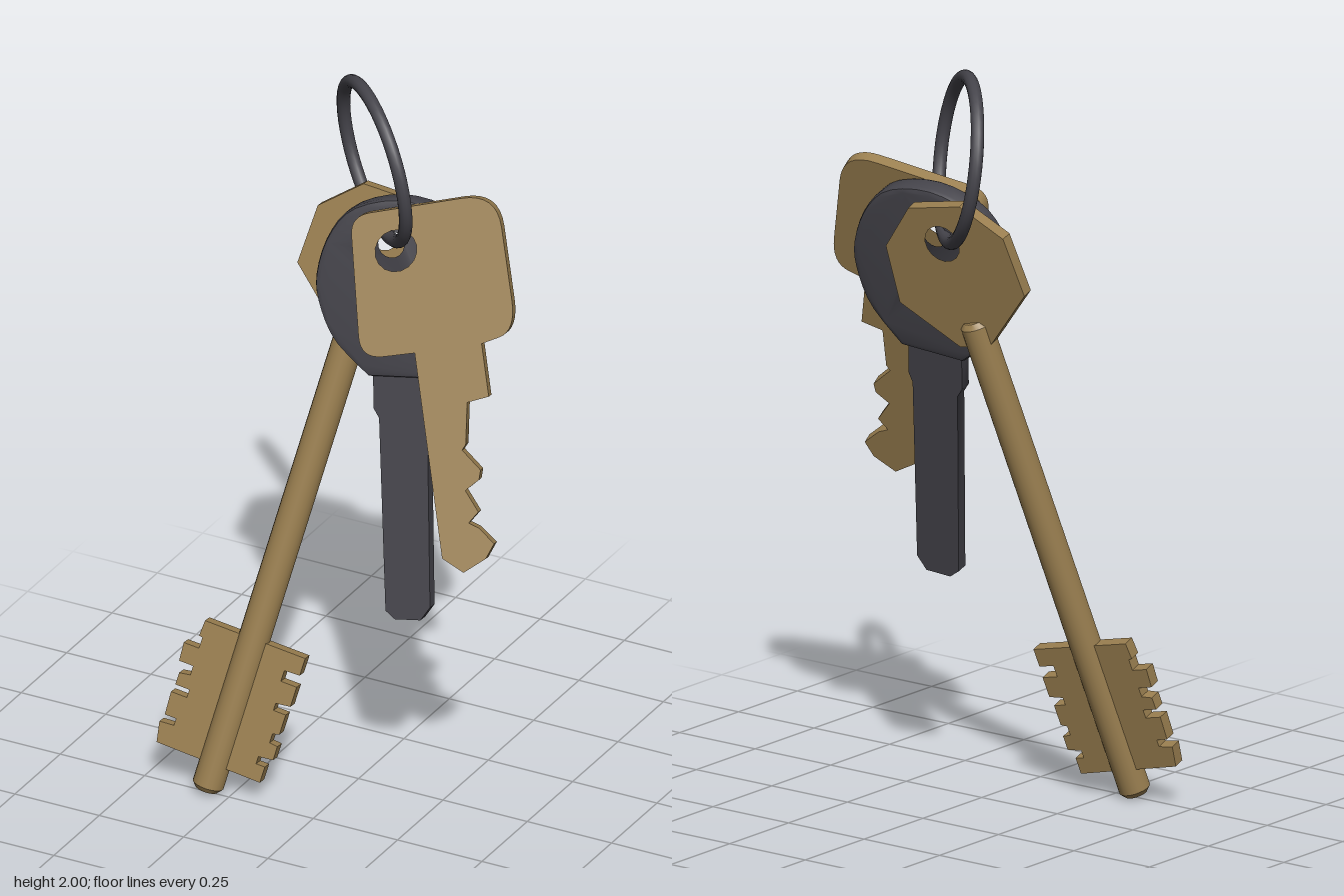
import * as THREE from 'three';
import { toCreasedNormals } from 'three/addons/utils/BufferGeometryUtils.js';

const brass = new THREE.MeshStandardMaterial({ color: 0x9a7f50 });
brass.name = 'brass';
const darkMetal = new THREE.MeshStandardMaterial({ color: 0x45444b });
darkMetal.name = 'dark metal';

// Outline from [x, y, cornerRadius?] points, optionally with a round hole
function outline(points, hole) {
  const shape = new THREE.Shape();
  const n = points.length;
  points.forEach(([x, y, r = 0], i) => {
    const p = new THREE.Vector2(x, y);
    const toward = (q) => {
      const d = new THREE.Vector2(q[0], q[1]).sub(p);
      return d.setLength(Math.min(r, d.length() / 2)).add(p);
    };
    const a = r ? toward(points[(i + n - 1) % n]) : p;
    if (i === 0) shape.moveTo(a.x, a.y);
    else shape.lineTo(a.x, a.y);
    if (r) {
      const b = toward(points[(i + 1) % n]);
      shape.quadraticCurveTo(x, y, b.x, b.y);
    }
  });
  shape.closePath();
  if (hole) {
    const path = new THREE.Path();
    path.absarc(hole[0], hole[1], hole[2], 0, Math.PI * 2, true);
    shape.holes.push(path);
  }
  return shape;
}

// Leaning plane z = a + b*x + c*y that a key lies in
function keyPlane(a, b, c) {
  const normal = new THREE.Vector3(-b, -c, 1).normalize();
  const matrix = new THREE.Matrix4().makeBasis(
    new THREE.Vector3(1, 0, b), new THREE.Vector3(0, 1, c), normal);
  matrix.setPosition(0, 0, a);
  return { matrix, at: (x, y) => new THREE.Vector3(x, y, a + b * x + c * y) };
}

// Flat plate of given thickness, centred on the key plane
function plate(name, shape, thickness, plane, material, bevel = 0) {
  const geo = new THREE.ExtrudeGeometry(shape, {
    depth: thickness - 2 * bevel, curveSegments: 8,
    bevelEnabled: bevel > 0, bevelThickness: bevel, bevelSize: bevel,
    bevelOffset: -bevel, bevelSegments: 2,
  });
  geo.translate(0, 0, -thickness / 2 + bevel);
  geo.applyMatrix4(plane.matrix);
  const mesh = new THREE.Mesh(toCreasedNormals(geo, 0.6), material);
  mesh.name = name;
  return mesh;
}

// Maps [across, along] key coordinates to x, y
function alongAxis(ox, oy, dx, dy) {
  const l = Math.hypot(dx, dy);
  const s = dx / l, c = dy / l;
  return ([u, v, r]) => [ox + u * c + v * s, oy - u * s + v * c, r];
}

function group(name, ...meshes) {
  const g = new THREE.Group();
  g.name = name;
  g.add(...meshes);
  return g;
}

// Key with round shaft and a toothed bit on both sides
function makeBitKey() {
  const plane = keyPlane(0.204, -0.165, -0.236);
  const bow = plate('bitKeyBow', outline([
    [-0.1, 1.27], [-0.227, 1.432], [-0.19, 1.59], [-0.074, 1.666],
    [0.08, 1.64], [0.165, 1.52], [0.15, 1.36], [-0.01, 1.255],
  ], [-0.005, 1.55, 0.05]), 0.036, plane, brass);

  const start = plane.at(-0.314, 0.01), end = plane.at(-0.055, 1.33);
  const axis = end.clone().sub(start);
  const len = axis.length();
  const profile = [[0, 0], [0.03, 0], [0.042, 0.014], [0.042, len - 0.014], [0.03, len], [0, len]]
    .map(([x, y]) => new THREE.Vector2(x, y));
  const shaft = new THREE.Mesh(
    toCreasedNormals(new THREE.LatheGeometry(profile, 20), 0.6), brass);
  shaft.name = 'bitKeyShaft';
  shaft.position.copy(start);
  shaft.quaternion.setFromUnitVectors(new THREE.Vector3(0, 1, 0), axis.normalize());

  const teeth = [
    [-0.155, 0.06], [-0.165, 0.115], [-0.125, 0.118], [-0.125, 0.137], [-0.157, 0.137],
    [-0.16, 0.2], [-0.115, 0.2], [-0.115, 0.222], [-0.155, 0.222], [-0.155, 0.255],
    [-0.125, 0.26], [-0.125, 0.285], [-0.165, 0.285], [-0.168, 0.335], [-0.125, 0.335],
    [-0.125, 0.365], [-0.135, 0.367], [-0.132, 0.41],
    [0.153, 0.41], [0.153, 0.362], [0.11, 0.36], [0.11, 0.33], [0.155, 0.33],
    [0.155, 0.275], [0.115, 0.27], [0.115, 0.25], [0.15, 0.25], [0.15, 0.195],
    [0.132, 0.19], [0.132, 0.165], [0.155, 0.163], [0.155, 0.125], [0.115, 0.12],
    [0.115, 0.1], [0.14, 0.1], [0.14, 0.056],
  ].map(alongAxis(-0.317, 0.027, 0.2, 0.98));
  const bit = plate('bitKeyTeeth', outline(teeth), 0.036, plane, brass);
  return group('bitKey', bow, shaft, bit);
}

// Dark key with a thick rounded head and a plain blade
function makeDarkKey() {
  const plane = keyPlane(0.226, -0.146, -0.205);
  const map = alongAxis(0.196, 0.565, -0.124, 0.992);
  const half = [[-0.09, 0.648], [-0.18, 0.738], [-0.221, 0.834], [-0.227, 0.915],
    [-0.193, 1.017], [-0.125, 1.094], [0, 1.125]];
  const full = [...half, ...half.slice(0, -1).reverse().map(([u, v]) => [-u, v])];
  const curve = new THREE.SplineCurve(full.map(([u, v]) => new THREE.Vector2(u, v)));
  const rim = curve.getPoints(40).map((p) => map([p.x, p.y]));
  const head = plate('darkKeyHead', outline(rim, [0.055, 1.56, 0.05]), 0.07, plane, darkMetal, 0.014);
  const blade = plate('darkKeyBlade', outline([
    [-0.06, 0.022], [-0.035, 0], [0.035, 0], [0.062, 0.035], [0.066, 0.54],
    [0.077, 0.565], [0.077, 0.7], [-0.08, 0.7], [-0.08, 0.56], [-0.066, 0.535],
  ].map(map)), 0.036, plane, darkMetal);
  return group('darkKey', head, blade);
}

// Brass key with a squarish bow and a one-sided cut blade
function makeCutKey() {
  const plane = keyPlane(0.558, -0.29, -0.36);
  const body = plate('cutKeyBody', outline([
    [-0.035, 1.65, 0.05], [0.325, 1.745, 0.09], [0.432, 1.405, 0.08], [0.35, 1.365],
    [0.39, 1.235], [0.338, 1.215], [0.352, 1.11], [0.345, 1.095], [0.4, 1.05],
    [0.4, 1.025], [0.37, 0.995], [0.412, 0.945], [0.392, 0.915], [0.42, 0.905],
    [0.465, 0.87], [0.45, 0.83], [0.4, 0.79], [0.34, 0.82],
    [0.185, 1.325], [0.05, 1.295, 0.06],
  ], [0.095, 1.575, 0.053]), 0.036, plane, brass);
  return group('cutKey', body);
}

// Split ring threaded through all three bows
function makeRing() {
  const ring = new THREE.Mesh(new THREE.TorusGeometry(0.219, 0.018, 12, 48), darkMetal);
  ring.name = 'keyRing';
  ring.position.set(-0.021, 1.765, -0.127);
  ring.quaternion.setFromUnitVectors(
    new THREE.Vector3(0, 0, 1), new THREE.Vector3(-0.655, -0.14, 0.743).normalize());
  return ring;
}

export function createModel() {
  return group('keyBunch', makeRing(), makeBitKey(), makeDarkKey(), makeCutKey());
}
